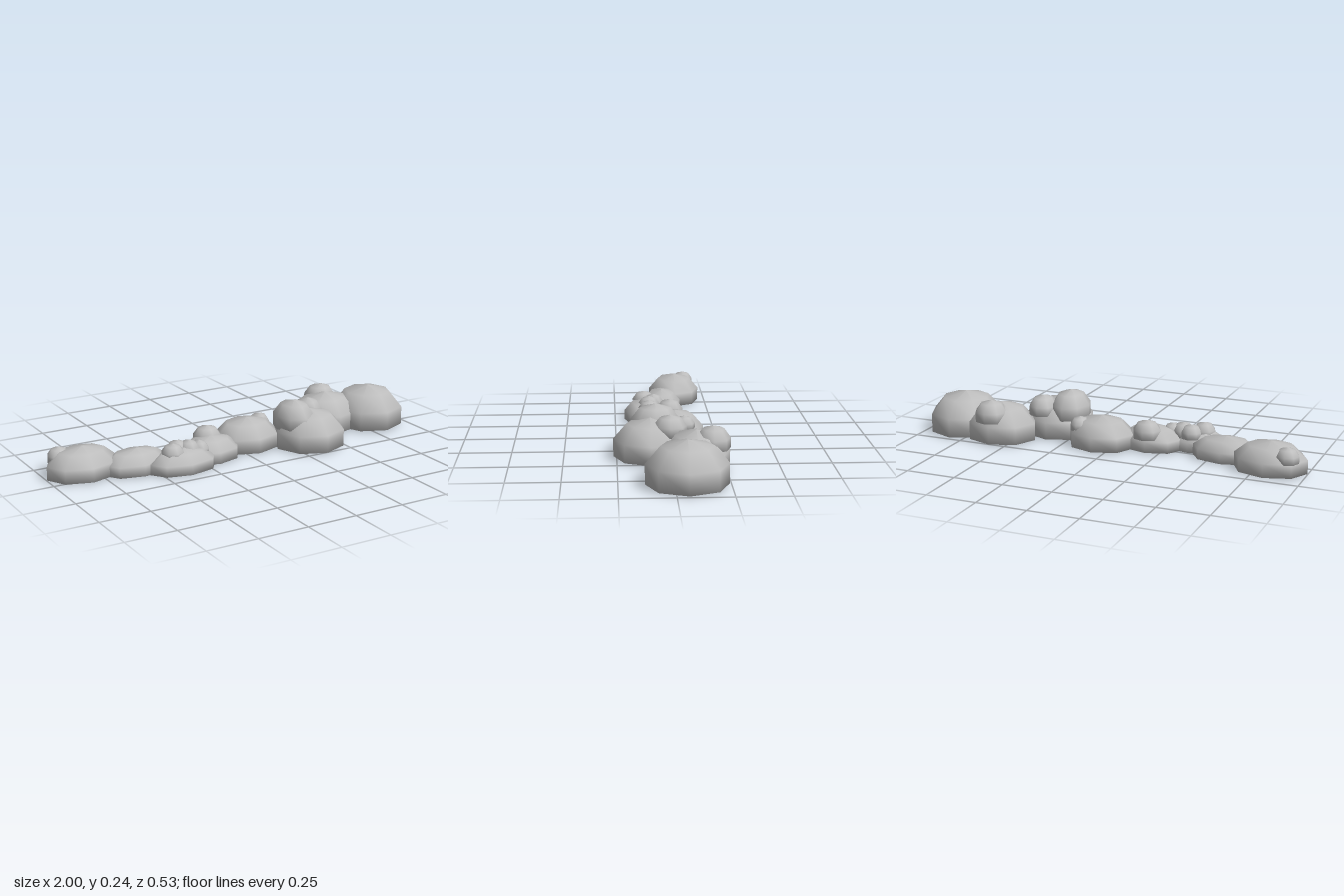
import * as THREE from 'three';

// Half profile of a rounded stone, unit radius and unit height, open underneath
const PROFILE = [[0.66, 0], [1, 0.025], [1, 0.48], [0.64, 0.86], [0, 1]]
  .map(([r, y]) => new THREE.Vector2(r, y));

// Large stones on the ground: x, z, radius x, radius z, height
const BASE_STONES = [
  [-0.82, -0.08, 0.18, 0.135, 0.145],
  [-0.575, 0, 0.17, 0.102, 0.115],
  [-0.375, 0.1, 0.175, 0.1, 0.11],
  [-0.185, 0.025, 0.155, 0.108, 0.12],
  [0.06, -0.04, 0.172, 0.14, 0.155],
  [0.35, 0.092, 0.183, 0.174, 0.19],
  [0.58, -0.11, 0.183, 0.155, 0.19],
  [0.815, -0.055, 0.185, 0.187, 0.207],
];

// Small stones resting on top: x, z, radius x, radius z, top height
const TOP_STONES = [
  [-0.915, -0.135, 0.057, 0.055, 0.14],
  [-0.43, 0.1, 0.056, 0.056, 0.14],
  [-0.38, 0.05, 0.054, 0.052, 0.135],
  [-0.33, 0.075, 0.052, 0.055, 0.135],
  [-0.275, 0.075, 0.05, 0.055, 0.125],
  [-0.175, -0.025, 0.072, 0.067, 0.155],
  [0.16, -0.08, 0.05, 0.053, 0.15],
  [0.275, 0.065, 0.1, 0.118, 0.24],
  [0.4, 0, 0.073, 0.08, 0.215],
  [0.6, -0.185, 0.085, 0.08, 0.213],
];

export function createModel() {
  const group = new THREE.Group();
  group.name = 'stoneRow';
  const stoneGrey = new THREE.MeshStandardMaterial({ color: 0xbcbcbc, side: THREE.DoubleSide });
  stoneGrey.name = 'stone grey';
  const geometry = new THREE.LatheGeometry(PROFILE, 8);

  const addStone = (name, x, y, z, rx, h, rz) => {
    const stone = new THREE.Mesh(geometry, stoneGrey);
    stone.name = name;
    stone.position.set(x, y, z);
    stone.scale.set(rx, h, rz);
    group.add(stone);
  };

  BASE_STONES.forEach(([x, z, rx, rz, h], i) => addStone(`baseStone${i + 1}`, x, 0, z, rx, h, rz));

  // Small stones sink partly into the ones below
  TOP_STONES.forEach(([x, z, rx, rz, top], i) => {
    const h = (rx + rz) * 0.66;
    addStone(`topStone${i + 1}`, x, top - h, z, rx, h, rz);
  });
  return group;
}
